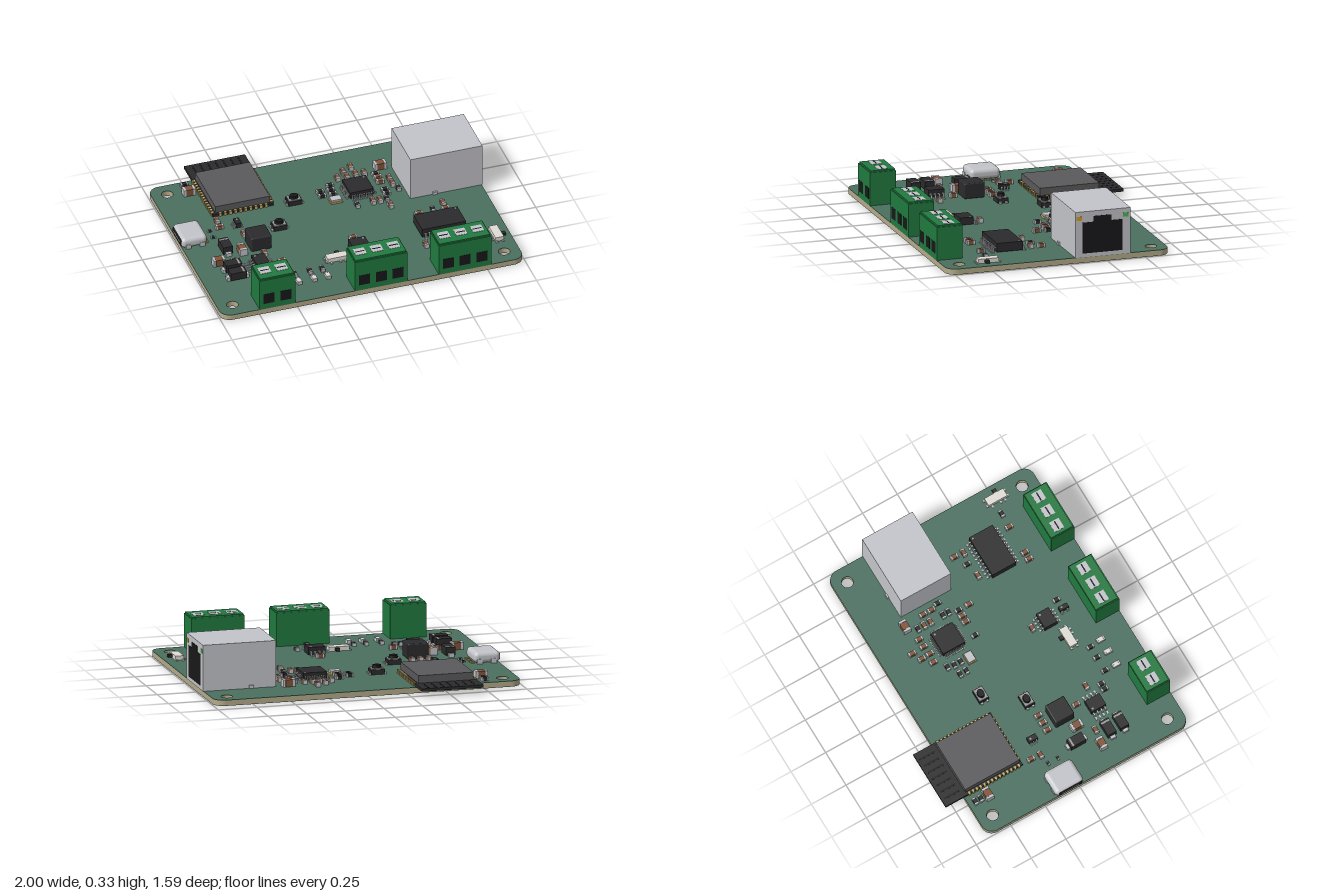
import * as THREE from 'three';
import { RoundedBoxGeometry } from 'three/addons/geometries/RoundedBoxGeometry.js';

const TOP = 0.038; // upper face of the board
const mats = {};
const mat = (color) => (mats[color] ??= new THREE.MeshStandardMaterial({ color }));
const MASK = 0x4a7060, TAN = 0xb5ab8a, BLACK = 0x18181a, CHIP = 0x2b2b2d, SILVER = 0xc4c5ca,
  GOLD = 0xc9ad62, BROWN = 0x80543c, WHITE = 0xe0ddd5, GREEN = 0x217a40, STEEL = 0x9a9a9c;

function add(parent, name, geometry, color, x = 0, y = 0, z = 0) {
  const m = new THREE.Mesh(geometry, mat(color));
  m.name = name;
  m.position.set(x, y, z);
  parent.add(m);
  return m;
}
// Box given by its centre in plan, its underside and its size
const box = (p, name, color, x, y, z, w, h, d) =>
  add(p, name, new THREE.BoxGeometry(w, h, d), color, x, y + h / 2, z);

function group(parent, name, x = 0, z = 0, turn = 0) {
  const g = new THREE.Group();
  g.name = name;
  g.position.set(x, TOP, z);
  g.rotation.y = turn;
  parent.add(g);
  return g;
}

// Rounded board outline with four mounting holes
function boardShape() {
  const s = new THREE.Shape(), x = 0.993, a = -0.795, b = 0.665, r = 0.07;
  s.moveTo(-x + r, a);
  s.absarc(x - r, a + r, r, -Math.PI / 2, 0);
  s.absarc(x - r, b - r, r, 0, Math.PI / 2);
  s.absarc(-x + r, b - r, r, Math.PI / 2, Math.PI);
  s.absarc(-x + r, a + r, r, Math.PI, Math.PI * 1.5);
  for (const hx of [-0.893, 0.893]) for (const hy of [-0.69, 0.57]) {
    s.holes.push(new THREE.Path().absarc(hx, hy, 0.037, 0, Math.PI * 2, true));
  }
  return s;
}
function boardLayer(p, name, color, y, depth) {
  const g = new THREE.ExtrudeGeometry(boardShape(), { depth, bevelEnabled: false, curveSegments: 16 });
  add(p, name, g.rotateX(-Math.PI / 2), color, 0, y, 0);
}

// Chip resistor or capacitor with two metal ends
function passive(p, name, color, x, z, turned, l = 0.048, w = 0.026, h = 0.02) {
  const g = group(p, name, x, z, turned ? Math.PI / 2 : 0);
  box(g, 'body', color, 0, 0.002, 0, l * 0.58, h, w);
  for (const s of [-1, 1]) box(g, 'endCap', SILVER, s * l * 0.4, 0.001, 0, l * 0.2, h + 0.002, w * 1.02);
}

// Gull-wing leads along the two long sides of a package
function leads(g, n, pitch, edge, reach, lift, width) {
  for (const s of [-1, 1]) for (let i = 0; i < n; i++) {
    const x = (i - (n - 1) / 2) * pitch;
    box(g, 'leadShoulder', SILVER, x, lift, s * (edge + reach * 0.2), width, 0.007, reach * 0.5);
    box(g, 'leadDrop', SILVER, x, 0, s * (edge + reach * 0.45), width, lift, 0.006);
    box(g, 'leadFoot', SILVER, x, 0, s * (edge + reach * 0.7), width, 0.006, reach * 0.6);
  }
}
function chip(p, name, x, z, w, d, h, n, pitch, reach, turned = false, quad = false) {
  const g = group(p, name, x, z, turned ? Math.PI / 2 : 0);
  box(g, 'package', CHIP, 0, 0.008, 0, w, h - 0.008, d);
  add(g, 'pinOneDot', new THREE.CylinderGeometry(0.007, 0.007, 0.002, 12), STEEL, w / 2 - 0.018, h, -d / 2 + 0.018);
  leads(g, n, pitch, d / 2, reach, h * 0.45, pitch * 0.42);
  if (quad) leads(group(g, 'sideLeads', 0, 0, Math.PI / 2), n, pitch, w / 2, reach, h * 0.45, pitch * 0.42);
  if (quad) g.children.at(-1).position.y = 0;
}

function diode(p, x, z, turned) {
  const g = group(p, 'diode', x, z, turned ? Math.PI / 2 : 0);
  box(g, 'body', CHIP, 0, 0.008, 0, 0.106, 0.052, 0.062);
  box(g, 'cathodeBand', STEEL, 0.035, 0.06, 0, 0.012, 0.001, 0.062);
  for (const s of [-1, 1]) box(g, 'lead', SILVER, s * 0.06, 0, 0, 0.024, 0.024, 0.036);
}

function button(p, x, z) {
  const g = group(p, 'pushButton', x, z);
  box(g, 'base', CHIP, 0, 0, 0, 0.09, 0.032, 0.068);
  box(g, 'frame', STEEL, 0, 0.032, 0, 0.08, 0.006, 0.06);
  add(g, 'plunger', new THREE.CylinderGeometry(0.021, 0.023, 0.02, 20), BLACK, 0, 0.047, 0).scale.x = 1.3;
  for (const s of [-1, 1]) for (const t of [-1, 1]) box(g, 'tab', SILVER, s * 0.05, 0, t * 0.02, 0.014, 0.012, 0.014);
}

function slideSwitch(p, x, z, turn) {
  const g = group(p, 'slideSwitch', x, z, turn);
  box(g, 'case', WHITE, 0, 0.002, 0, 0.135, 0.028, 0.055);
  box(g, 'slider', CHIP, 0.015, 0.006, -0.04, 0.026, 0.018, 0.028);
  for (const i of [-0.045, 0.015, 0.045]) box(g, 'pin', SILVER, i, 0, 0.034, 0.012, 0.006, 0.022);
  for (const s of [-1, 1]) for (const t of [-1, 1]) box(g, 'corner', SILVER, s * 0.072, 0, t * 0.02, 0.016, 0.008, 0.014);
}

// Screw terminal with wire entries at the front and screws on top
function terminal(p, x, n) {
  const g = group(p, 'screwTerminal', x, 0.711), pitch = 0.11, w = n * pitch + 0.015;
  box(g, 'housing', GREEN, 0, 0, 0, w, 0.214, 0.168);
  box(g, 'topStep', GREEN, 0, 0.214, -0.003, w - 0.012, 0.01, 0.158);
  for (let i = 0; i < n; i++) {
    const c = (i - (n - 1) / 2) * pitch;
    box(g, 'wireEntry', BLACK, c, 0.037, 0.08, 0.072, 0.072, 0.011);
    box(g, 'screw', SILVER, c, 0.22, -0.008, 0.072, 0.006, 0.068);
    box(g, 'screwSlot', BLACK, c, 0.2255, -0.008, 0.058, 0.001, 0.009);
    add(g, 'solderPad', new THREE.CylinderGeometry(0.02, 0.02, 0.002, 16), GOLD, c, 0.001 - TOP, -0.008);
  }
}

export function createModel() {
  const model = new THREE.Group();
  model.name = 'circuitBoard';

  // Board
  boardLayer(model, 'boardCore', TAN, 0.003, 0.032);
  boardLayer(model, 'upperMask', MASK, 0.035, 0.003);
  boardLayer(model, 'lowerMask', MASK, 0.001, 0.002);
  for (const x of [-0.893, 0.893]) for (const z of [-0.57, 0.69]) {
    const ring = add(model, 'holeRing', new THREE.RingGeometry(0.037, 0.044, 28), TAN, x, 0.0005, z);
    ring.rotation.x = Math.PI / 2;
  }

  // Wire terminals
  terminal(model, -0.633, 2);
  terminal(model, 0.049, 3);
  terminal(model, 0.6, 3);

  // Network jack, opening to the right-hand end of the board
  const jack = group(model, 'networkJack', 0, -0.22);
  box(jack, 'shield', SILVER, 0.761, 0, 0, 0.474, 0.295, 0.362);
  const port = new THREE.Shape([[-0.132, 0.025], [0.132, 0.025], [0.132, 0.225], [0.058, 0.225], [0.058, 0.262],
    [-0.058, 0.262], [-0.058, 0.225], [-0.132, 0.225]].map(([x, y]) => new THREE.Vector2(x, y)));
  const portGeo = new THREE.ExtrudeGeometry(port, { depth: 0.01, bevelEnabled: false }).rotateY(Math.PI / 2);
  add(jack, 'portOpening', portGeo, BLACK, 0.99, 0, 0.004);
  box(jack, 'amberLight', 0xd0a020, 0.996, 0.239, 0.157, 0.008, 0.026, 0.034);
  box(jack, 'greenLight', 0x45b84c, 0.996, 0.239, -0.149, 0.008, 0.026, 0.034);
  for (const s of [-1, 1]) {
    box(jack, 'shieldTab', SILVER, 0.685, 0, s * 0.186, 0.03, 0.02, 0.012);
    add(jack, 'shieldPad', new THREE.CylinderGeometry(0.026, 0.026, 0.002, 16), GOLD, 0.685, 0.001 - TOP, s * 0.186);
    add(jack, 'pegPad', new THREE.CylinderGeometry(0.036, 0.036, 0.002, 20), TAN, 0.8, 0.001 - TOP, s * 0.125);
  }
  for (let i = 0; i < 8; i++) {
    add(jack, 'pinPad', new THREE.CylinderGeometry(0.01, 0.01, 0.002, 10), GOLD, 0.62 + (i % 2) * 0.055, 0.001 - TOP, (i - 3.5) * 0.024);
  }

  // Radio module with overhanging antenna
  const radio = group(model, 'radioModule', -0.505, -0.52);
  box(radio, 'moduleBoard', CHIP, 0, 0.002, 0, 0.4, 0.018, 0.556);
  box(radio, 'shieldCan', 0x5a5a5c, 0, 0.02, 0.07, 0.358, 0.048, 0.39);
  for (let i = 0; i < 7; i++) box(radio, 'antennaTrace', BLACK, -0.15 + i * 0.05, 0.02, -0.205, 0.012, 0.001, 0.11);
  for (let i = 0; i < 14; i++) for (const s of [-1, 1]) {
    box(radio, 'edgePad', GOLD, s * 0.196, 0, -0.105 + i * 0.0275, 0.02, 0.022, 0.013);
  }
  for (let i = 0; i < 10; i++) box(radio, 'endPad', GOLD, (i - 4.5) * 0.0335, 0, 0.274, 0.014, 0.022, 0.016);

  // Data socket on the left-hand edge of the plan
  const usb = group(model, 'dataSocket', -0.915, -0.07);
  add(usb, 'shell', new RoundedBoxGeometry(0.17, 0.07, 0.2, 4, 0.028), SILVER, 0, 0.037, 0);
  add(usb, 'mouth', new RoundedBoxGeometry(0.02, 0.046, 0.168, 3, 0.009), BLACK, -0.0765, 0.037, 0);
  box(usb, 'tongue', STEEL, -0.083, 0.032, 0, 0.008, 0.01, 0.12);
  for (let i = 0; i < 9; i++) box(usb, 'contact', GOLD, 0.09, 0, (i - 4) * 0.018, 0.02, 0.006, 0.009);
  for (const s of [-1, 1]) for (const x of [-0.04, 0.05]) box(usb, 'anchor', SILVER, x, 0, s * 0.097, 0.035, 0.03, 0.012);

  // Integrated circuits
  chip(model, 'mainController', 0.243, -0.227, 0.155, 0.155, 0.05, 12, 0.0115, 0.022, false, true);
  chip(model, 'wideInterfaceChip', 0.6, 0.305, 0.288, 0.17, 0.065, 10, 0.0275, 0.03);
  chip(model, 'regulatorChip', -0.593, 0.348, 0.105, 0.085, 0.055, 4, 0.027, 0.045, true);
  chip(model, 'transceiverChip', 0.046, 0.37, 0.11, 0.09, 0.055, 4, 0.027, 0.03);
  chip(model, 'smallChip', -0.59, -0.107, 0.062, 0.036, 0.04, 3, 0.02, 0.014, true);
  chip(model, 'smallChip', 0.06, 0.5, 0.062, 0.03, 0.04, 2, 0.038, 0.012, true);

  // Inductor, crystal, diodes, buttons and switches
  add(model, 'inductor', new RoundedBoxGeometry(0.134, 0.099, 0.134, 2, 0.008), CHIP, -0.532, TOP + 0.0495, 0.126);
  box(model, 'crystalBase', GOLD, 0.076, TOP, -0.166, 0.08, 0.012, 0.06);
  box(model, 'crystalLid', SILVER, 0.076, TOP + 0.012, -0.166, 0.068, 0.012, 0.05);
  diode(model, -0.77, 0.335);
  diode(model, -0.77, 0.425);
  diode(model, -0.745, 0.12, true);
  button(model, -0.176, -0.235);
  button(model, -0.35, -0.007);
  slideSwitch(model, -0.12, 0.43, 0);
  slideSwitch(model, 0.903, 0.507, -Math.PI / 2);

  // Resistors lying along x, then along z
  for (const [x, z] of [[0.09, -0.32], [0.01, -0.275], [0.08, -0.275], [0.01, -0.23], [0.08, -0.23], [0.4, -0.35],
    [0.4, -0.17], [0.4, -0.13], [0.795, 0.485], [-0.765, -0.62], [-0.765, -0.58]])
    passive(model, 'resistor', CHIP, x, z, false);
  for (const z of [-0.1, -0.03]) passive(model, 'resistor', CHIP, -0.775, z, false, 0.03, 0.016, 0.012);
  for (const [x, z] of [[0.185, -0.065], [0.38, -0.07], [0.485, -0.16], [0.615, 0.13], [0.13, 0.49], [-0.53, 0.45],
    [-0.49, 0.45], [-0.425, 0.515], [-0.325, 0.515], [-0.245, 0.515]])
    passive(model, 'resistor', CHIP, x, z, true);

  // Capacitors lying along x, then along z
  for (const [x, z] of [[0.4, -0.305], [0.4, -0.26], [0.515, 0.15], [0.69, 0.15], [0.045, 0.265], [-0.455, 0.36],
    [-0.735, 0.265], [-0.705, -0.115]])
    passive(model, 'capacitor', BROWN, x, z, false, 0.05, 0.028, 0.026);
  for (const [x, z] of [[0.335, -0.07], [0.29, -0.07], [0.38, 0.005], [0.16, -0.38], [0.335, -0.38], [0.28, -0.38],
    [0.22, -0.37], [0.215, -0.43], [0.275, -0.465], [0.465, -0.275], [0.465, -0.215], [0.45, 0.48], [0.5, 0.48],
    [0.695, 0.48], [0.695, 0.085], [-0.53, 0.245], [-0.585, 0.005], [-0.53, 0.005], [-0.475, 0.005], [-0.7, -0.18]])
    passive(model, 'capacitor', BROWN, x, z, true, 0.05, 0.028, 0.026);
  for (const [x, z, turned] of [[0.45, -0.415], [-0.835, 0.25], [-0.655, 0.175, true], [-0.765, -0.53]])
    passive(model, 'largeCapacitor', BROWN, x, z, turned, 0.078, 0.048, 0.045);

  // Indicator lights
  for (const x of [-0.425, -0.325, -0.235]) passive(model, 'indicatorLight', WHITE, x, 0.595, true, 0.055, 0.03, 0.02);

  return model;
}
